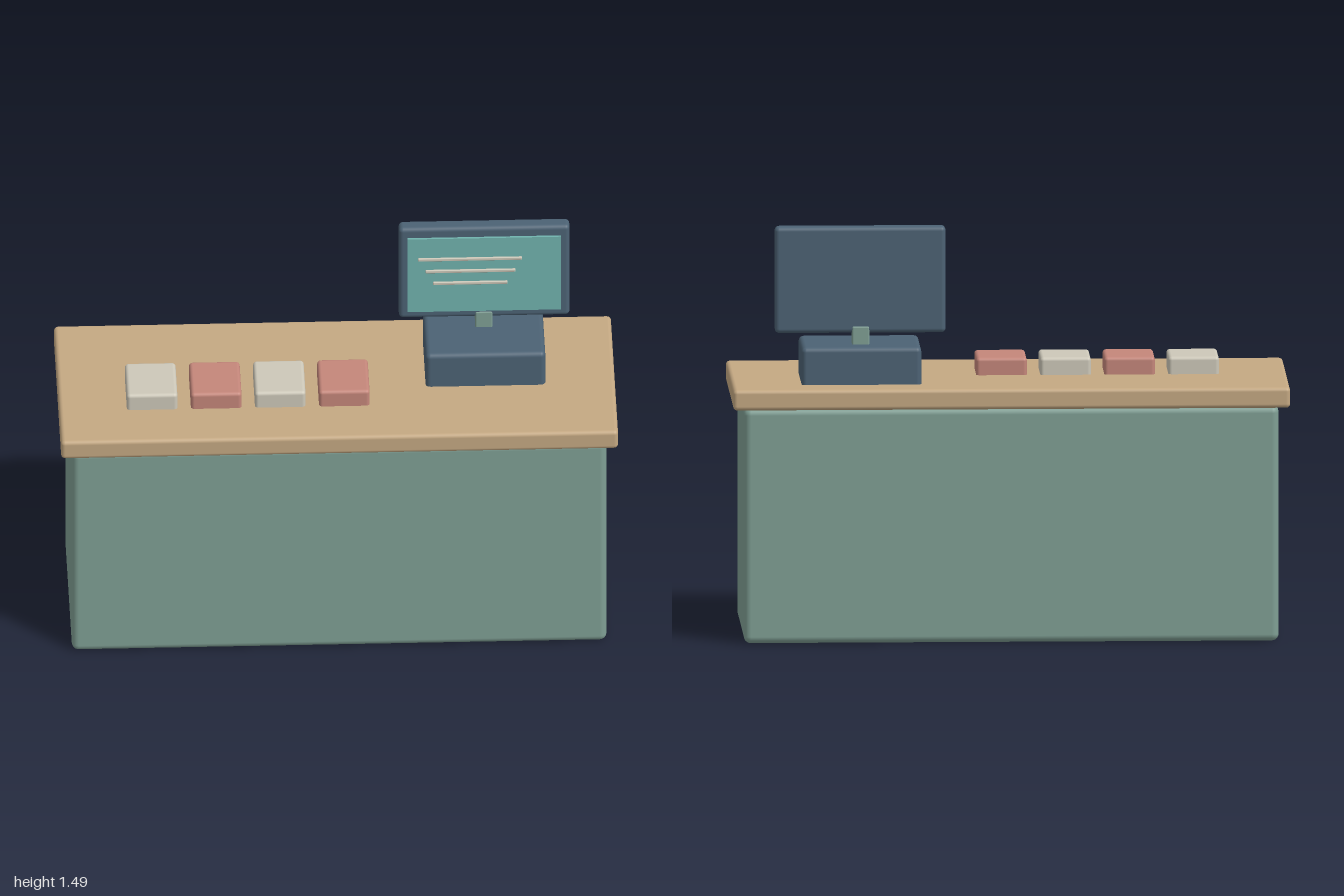
import * as THREE from 'three';
import { RoundedBoxGeometry } from 'three/addons/geometries/RoundedBoxGeometry.js';

function material(name, color) {
  const m = new THREE.MeshStandardMaterial({ color });
  m.name = name;
  return m;
}

export function createModel() {
  const sage = material('sage green', 0x7f9f94);
  const wood = material('light wood', 0xc4a882);
  const slate = material('slate blue', 0x4c6274);
  const teal = material('screen teal', 0x70b3ae);
  const cream = material('cream', 0xcdc8b9);
  const rose = material('dusty rose', 0xc4867a);

  const group = new THREE.Group();
  group.name = 'checkoutCounter';

  // Rounded block given by its extents on each axis
  function block(name, [x0, x1], [y0, y1], [z0, z1], radius, mat, parent = group) {
    const geometry = new RoundedBoxGeometry(x1 - x0, y1 - y0, z1 - z0, 3, radius);
    const mesh = new THREE.Mesh(geometry, mat);
    mesh.position.set((x0 + x1) / 2, (y0 + y1) / 2, (z0 + z1) / 2);
    mesh.name = name;
    parent.add(mesh);
    return mesh;
  }

  // Counter
  block('counterBody', [-0.96, 0.96], [0, 0.852], [-0.347, 0.347], 0.025, sage);
  block('counterTop', [-1, 1], [0.85, 0.925], [-0.383, 0.383], 0.015, wood);

  // Row of small boxes in alternating colours
  for (let i = 0; i < 4; i++) {
    const x = -0.757 + i * 0.23;
    block('smallBox' + (i + 1), [x, x + 0.182], [0.905, 0.988], [-0.034, 0.181], 0.013, i % 2 ? rose : cream);
  }

  // Register base, neck and monitor
  const register = new THREE.Group();
  register.name = 'register';
  group.add(register);
  block('registerBase', [0.32, 0.75], [0.9, 1.06], [-0.258, 0.066], 0.018, slate, register);
  block('monitorNeck', [0.504, 0.566], [1.04, 1.125], [-0.177, -0.112], 0.006, sage, register);
  block('monitorFrame', [0.23, 0.843], [1.1, 1.485], [-0.174, -0.115], 0.016, slate, register);

  // Screen panel
  const screen = new THREE.Mesh(new THREE.BoxGeometry(0.55, 0.312, 0.0095), teal);
  screen.position.set(0.536, 1.29, -0.1105);
  screen.name = 'screen';
  register.add(screen);

  // Lines shown on the screen
  [[0.298, 0.672, 1.36], [0.325, 0.648, 1.309], [0.352, 0.62, 1.258]].forEach(([x0, x1, y], i) =>
    block('screenLine' + (i + 1), [x0, x1], [y - 0.006, y + 0.006], [-0.107, -0.098], 0.003, cream, register));

  return group;
}
